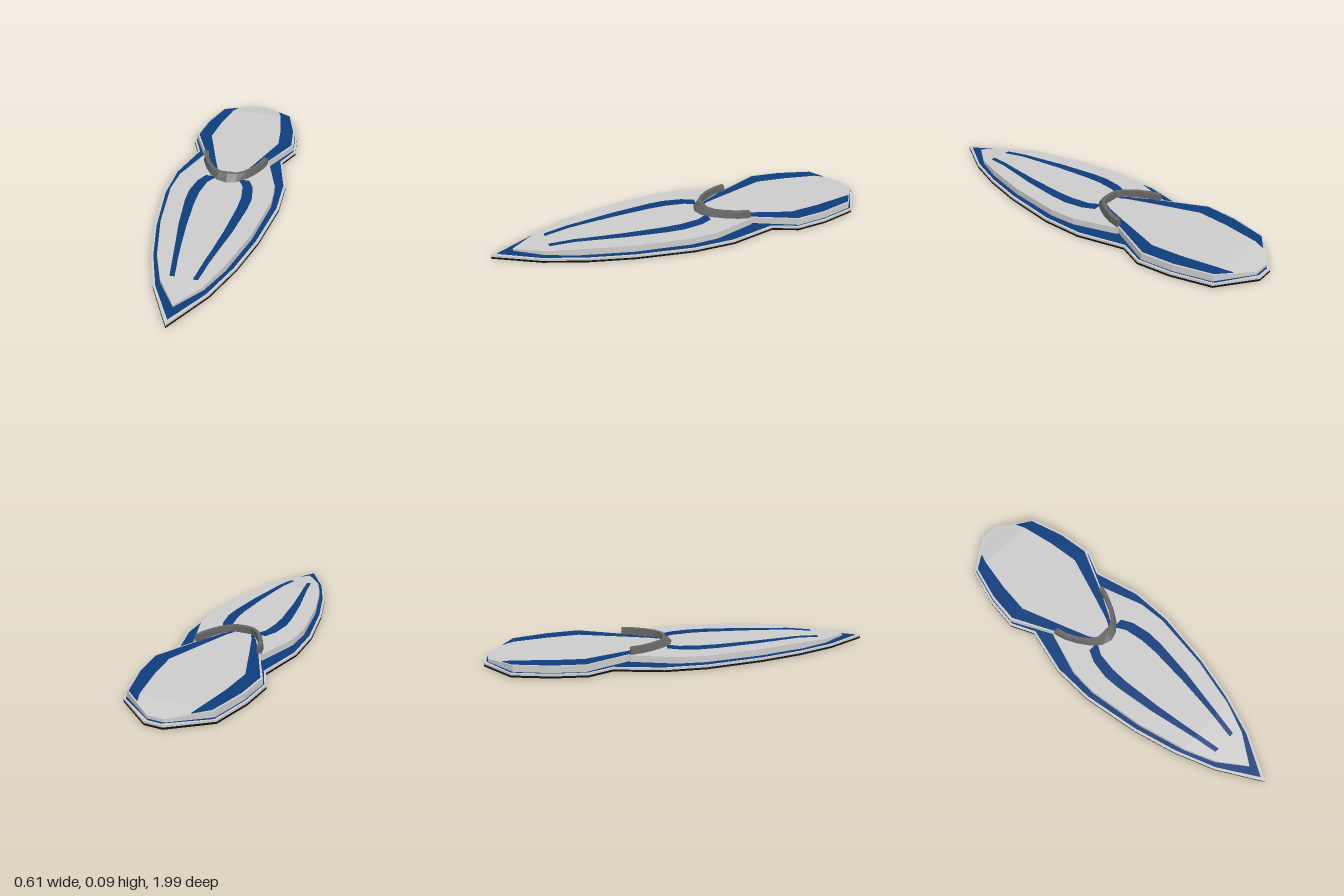
import * as THREE from 'three';

const paint = (color) => new THREE.MeshStandardMaterial({ color, flatShading: true });

// Skins a row of four-cornered rings and caps both ends.
function skin(rings) {
  const pos = [];
  const tri = (...p) => p.forEach((v) => pos.push(...v));
  const quad = (a, b, c, d) => { tri(a, b, c); tri(a, c, d); };
  for (let i = 0; i < rings.length - 1; i++) {
    for (let j = 0; j < 4; j++) {
      const k = (j + 1) % 4;
      quad(rings[i][j], rings[i + 1][j], rings[i + 1][k], rings[i][k]);
    }
  }
  const last = rings[rings.length - 1];
  quad(...rings[0]);
  quad(last[3], last[2], last[1], last[0]);
  const g = new THREE.BufferGeometry();
  g.setAttribute('position', new THREE.Float32BufferAttribute(pos, 3));
  g.computeVertexNormals();
  return g;
}

// Slab from front to back; each section is [z, x0, x1, top].
const slab = (sections, bottom) => skin(sections.map(([z, x0, x1, top]) => [
  [x0, bottom, z], [x1, bottom, z], [x1, top, z], [x0, top, z],
]));

// Half outline of the hull, [z, half width]
const outline = [
  [0.99, 0.001], [0.77, 0.128], [0.57, 0.203], [0.35, 0.26], [0.06, 0.305], [-0.15, 0.303],
  [-0.39, 0.243], [-0.51, 0.297], [-0.68, 0.279], [-0.87, 0.225], [-1, 0.045],
];

// Deck heights slope down towards bow and stern.
const deckTop = (z) => {
  if (z > 0.6) return 0.055 - (z - 0.6) * 0.08;
  if (z < -0.86) return 0.055 - (-0.86 - z) * 0.15;
  return 0.055;
};

export function createModel() {
  const model = new THREE.Group();
  const grey = paint(0xcccccc);
  const blue = paint(0x0d3c7c);
  const black = paint(0x111111);
  const dark = paint(0x666666);
  const add = (name, geometry, material) => {
    const mesh = new THREE.Mesh(geometry, material);
    mesh.name = name;
    model.add(mesh);
    return mesh;
  };
  const box = (name, w, h, d, x, y, z, material) =>
    add(name, new THREE.BoxGeometry(w, h, d), material).position.set(x, y, z);

  // Black bottom plate with two square recesses and a small slot
  const right = outline.map(([z, w]) => new THREE.Vector2(w, -z));
  const left = outline.map(([z, w]) => new THREE.Vector2(-w, -z)).reverse();
  const plate = new THREE.Shape([...right, ...left]);
  const recesses = [
    { x: 0, z: 0.2, w: 0.14, d: 0.13, floor: blue },
    { x: 0, z: -0.4, w: 0.14, d: 0.13, floor: blue },
    { x: -0.05, z: -0.03, w: 0.02, d: 0.06, floor: dark },
  ];
  for (const { x, z, w, d } of recesses) {
    const [a, b, c, e] = [x - w / 2, x + w / 2, -z - d / 2, -z + d / 2];
    plate.holes.push(new THREE.Path([[a, c], [a, e], [b, e], [b, c]].map((p) => new THREE.Vector2(...p))));
  }
  const plateGeometry = new THREE.ExtrudeGeometry(plate, { depth: 0.01, bevelEnabled: false });
  plateGeometry.rotateX(-Math.PI / 2);
  add('bottomPlate', plateGeometry, black);
  for (const { x, z, w, d, floor } of recesses) {
    box('recessFloor', w, 0.002, d, x, 0.009, z, floor);
    if (floor === blue) box('recessLining', 0.006, 0.008, d, x - w / 2 + 0.003, 0.005, z, grey);
  }

  // Grey rim with a blue band lying inside it
  const rim = (inset, top) => outline.map(([z, w], i) => {
    const x = Math.max(w - inset, 0.001);
    const zz = i === 0 ? z - inset * 2.5 : i === outline.length - 1 ? z + inset : z;
    return [zz, -x, x, top];
  });
  add('rim', slab(rim(0, 0.02), 0.01), grey);
  add('rimBand', slab(rim(0.012, 0.022), 0.015), blue);

  // Decks
  const deck = (profile, lift) =>
    slab(profile.map(([z, w]) => [z, -w, w, deckTop(z) + lift]), 0.02);
  add('frontDeck', deck([
    [0.885, 0.001], [0.75, 0.1], [0.6, 0.162], [0.35, 0.226], [0.06, 0.265],
    [-0.08, 0.257], [-0.3, 0.185],
  ], 0), grey);
  add('rearDeck', deck([
    [-0.08, 0.03], [-0.14, 0.085], [-0.28, 0.163], [-0.52, 0.282], [-0.68, 0.264],
    [-0.86, 0.212], [-0.98, 0.042],
  ], 0.0005), grey);

  // Stripes on both decks, [z, inner x, outer x]
  const stripes = {
    frontStripe: [
      [-0.1, 0.06, 0.118], [-0.04, 0.095, 0.148], [0.06, 0.11, 0.165], [0.15, 0.11, 0.161],
      [0.35, 0.094, 0.134], [0.52, 0.073, 0.101], [0.6, 0.061, 0.086], [0.72, 0.042, 0.065],
    ].reverse(),
    rearStripe: [
      [-0.12, 0.045, 0.06], [-0.16, 0.068, 0.09], [-0.28, 0.112, 0.155], [-0.52, 0.196, 0.27],
      [-0.68, 0.18, 0.253], [-0.86, 0.146, 0.202], [-0.91, 0.128, 0.132],
    ],
  };
  for (const [name, rows] of Object.entries(stripes)) {
    for (const side of [1, -1]) {
      add(name, slab(rows.map(([z, a, b]) =>
        [z, side > 0 ? a : -b, side > 0 ? b : -a, deckTop(z) + 0.0018]), 0.03), blue);
    }
  }

  // Curved windscreen collar where the decks meet, [x, z, bottom]
  const half = [
    [0.182, -0.295, 0.02], [0.168, -0.241, 0.02], [0.168, -0.24, 0.05], [0.135, -0.17, 0.05],
    [0.095, -0.11, 0.05], [0.05, -0.068, 0.05],
  ];
  const path = [...half, [0, -0.052, 0.05], ...half.map(([x, z, y]) => [-x, z, y]).reverse()];
  add('collar', skin(path.map(([x, z, y]) => {
    const k = 1 - Math.abs(x) / 0.182;
    const inX = x * 0.84;
    const inZ = z - 0.06 * k;
    return [[x, y, z], [inX, y, inZ], [inX, 0.09, inZ], [x * 0.98, 0.09, z - 0.038 * k]];
  })), dark);

  return model;
}
